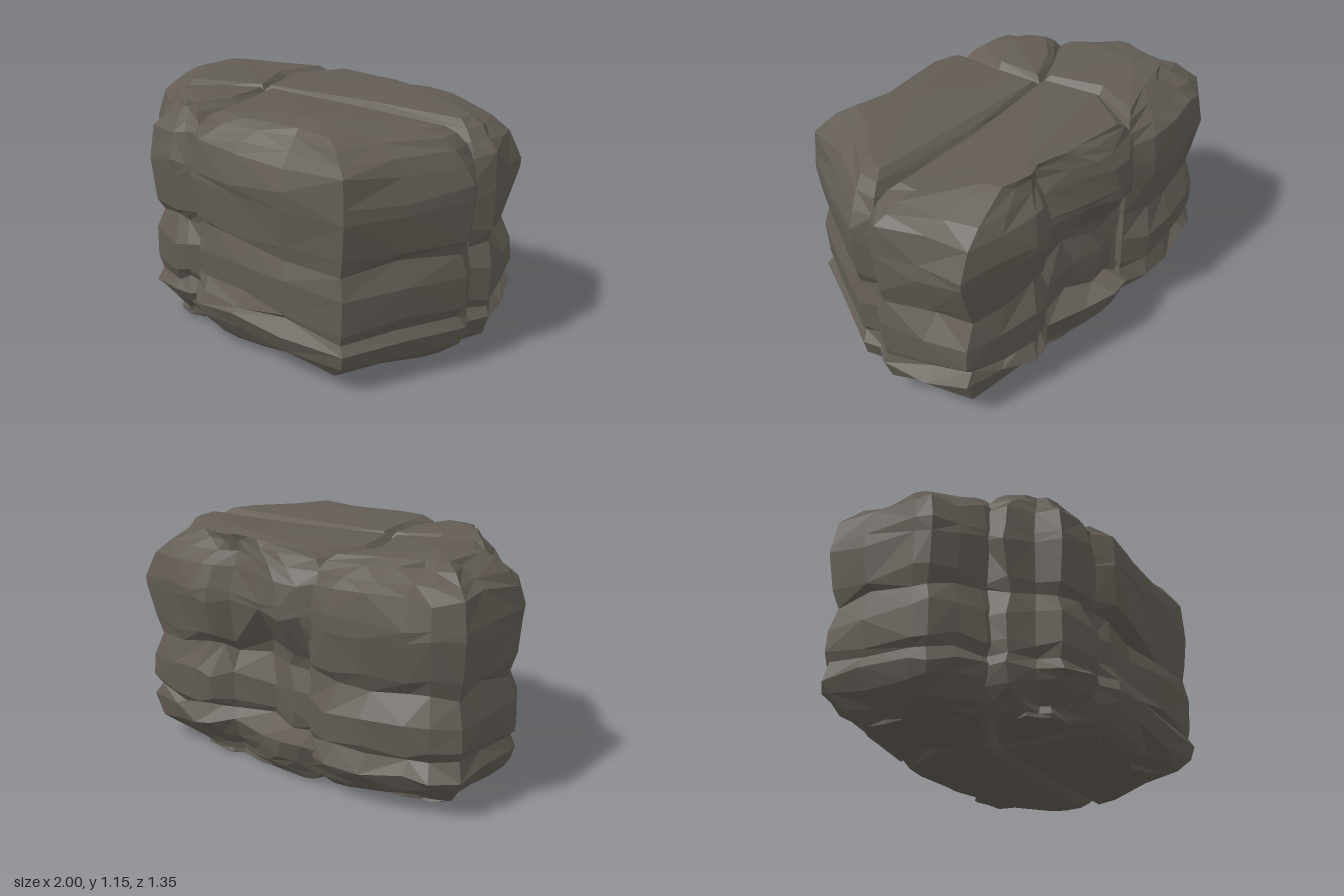
import * as THREE from 'three';

// Height and inset of each ring: rounded foot and crown, pinched bedding cracks between
const rings = [
  [0.005, 0.32], [0.025, 0.2], [0.06, 0.12], [0.13, 0.04], [0.2, 0.004], [0.265, 0.04], [0.31, 0.014], [0.45, 0.01],
  [0.575, 0.05], [0.63, 0.024], [0.82, 0.002], [0.88, 0.004], [1, 0.03], [1.05, 0.08], [1.1, 0.15], [1.13, 0.23],
];

// Plan outlines as [x, z]; a third value marks a seam with a neighbour and how far it opens at crown and foot
const blocks = {
  backBlock: [
    [0.89, -0.2, 0.7], [0.99, -0.28], [0.9, -0.48], [0.8, -0.67], [0.6, -0.67], [0.4, -0.68], [0.32, -0.65],
    [0.23, -0.57], [0, -0.57], [-0.17, -0.59], [-0.27, -0.55], [-0.31, -0.46, 0.6],
    [-0.36, -0.18, 0.45], [-0.24, 0.08, 0.45], [0.3, -0.07, 0.5],
  ],
  frontBlock: [
    [0.84, 0.5], [0.92, 0.2], [1, -0.12], [0.89, -0.17, 0.7], [0.3, -0.07, 0.5], [-0.2, 0.06, 0.45],
    [-0.12, 0.3, 0.45], [-0.09, 0.56, 0.7], [-0.03, 0.67], [0.2, 0.63], [0.5, 0.57],
  ],
  leftBlock: [
    [-0.31, -0.46, 0.6], [-0.42, -0.54], [-0.6, -0.5], [-0.8, -0.42], [-0.9, -0.36], [-1, -0.25], [-0.96, -0.05],
    [-0.91, 0.22], [-0.87, 0.29], [-0.75, 0.35], [-0.62, 0.4], [-0.54, 0.34, 0.6], [-0.22, 0.08, 0.45],
    [-0.36, -0.18, 0.45],
  ],
  frontWedge: [
    [-0.56, 0.36, 0.6], [-0.6, 0.47], [-0.47, 0.54], [-0.4, 0.65], [-0.2, 0.66], [-0.13, 0.63], [-0.1, 0.56, 0.7],
    [-0.12, 0.3, 0.45], [-0.2, 0.07, 0.45], [-0.4, 0.2, 0.45],
  ],
};

// Small seeded generator for the chipped surface
let seed;
const rand = () => (seed = (seed * 16807) % 2147483647) / 2147483647;

// Hollows: under the overhang at the back, and low on the front beside the wedge
function hollow(x, y, z) {
  if (z < -0.45 && x > -0.3 && x < 0.15 && y > 0.2 && y < 0.75) return 0.1;
  if (z > 0.6 && x > -0.05 && x < 0.3 && y > 0.3 && y < 0.6) return -0.05;
  return 0;
}

function blockGeometry(outline) {
  const n = outline.length;
  const cx = outline.reduce((s, p) => s + p[0], 0) / n;
  const cz = outline.reduce((s, p) => s + p[1], 0) / n;
  // The back is worn into wider shoulders, most of all at its right corner
  const wear = outline.map(([x, z]) => (z > -0.4 ? 1 : x > 0.3 ? 1.7 : 1.35) * (0.85 + rand() * 0.3));
  const pos = [], index = [];

  rings.forEach(([y, inset], j) => {
    outline.forEach(([x, z, seam], i) => {
      const dx = x - cx, dz = z - cz, r = Math.hypot(dx, dz);
      // Seams overlap below the crown and open into a shallow groove on top
      const d = seam
        ? inset * seam - 0.06
        : Math.min(inset * wear[i], r * 0.6) + (rand() - 0.4) * 0.022;
      const k = 1 - d / r;
      const middle = y > 0.1 && y < 1.04;
      const py = y + (middle ? (rand() - 0.5) * 0.05 : 0);
      pos.push(cx + dx * k, py, cz + dz * k + hollow(x, y, z));
    });
  });

  // Sides, with the diagonals varied
  for (let j = 0; j < rings.length - 1; j++) {
    for (let i = 0; i < n; i++) {
      const a = j * n + i, b = j * n + (i + 1) % n, c = b + n, d = a + n;
      if (rand() < 0.5) index.push(a, b, c, a, c, d);
      else index.push(a, b, d, b, c, d);
    }
  }

  // Underside and slightly domed top
  const top = (rings.length - 1) * n, bottomMid = rings.length * n;
  pos.push(cx, 0, cz, cx, 1.15, cz);
  for (let i = 0; i < n; i++) {
    const next = (i + 1) % n;
    index.push(bottomMid, next, i, bottomMid + 1, top + i, top + next);
  }

  const geometry = new THREE.BufferGeometry();
  geometry.setAttribute('position', new THREE.Float32BufferAttribute(pos, 3));
  geometry.setIndex(index);
  geometry.computeVertexNormals();
  return geometry;
}

export function createModel() {
  seed = 17;
  const rock = new THREE.Group();
  rock.name = 'rock';
  const stone = new THREE.MeshStandardMaterial({ color: 0x625c54, flatShading: true });

  for (const [name, outline] of Object.entries(blocks)) {
    const mesh = new THREE.Mesh(blockGeometry(outline), stone);
    mesh.name = name;
    rock.add(mesh);
  }
  return rock;
}
